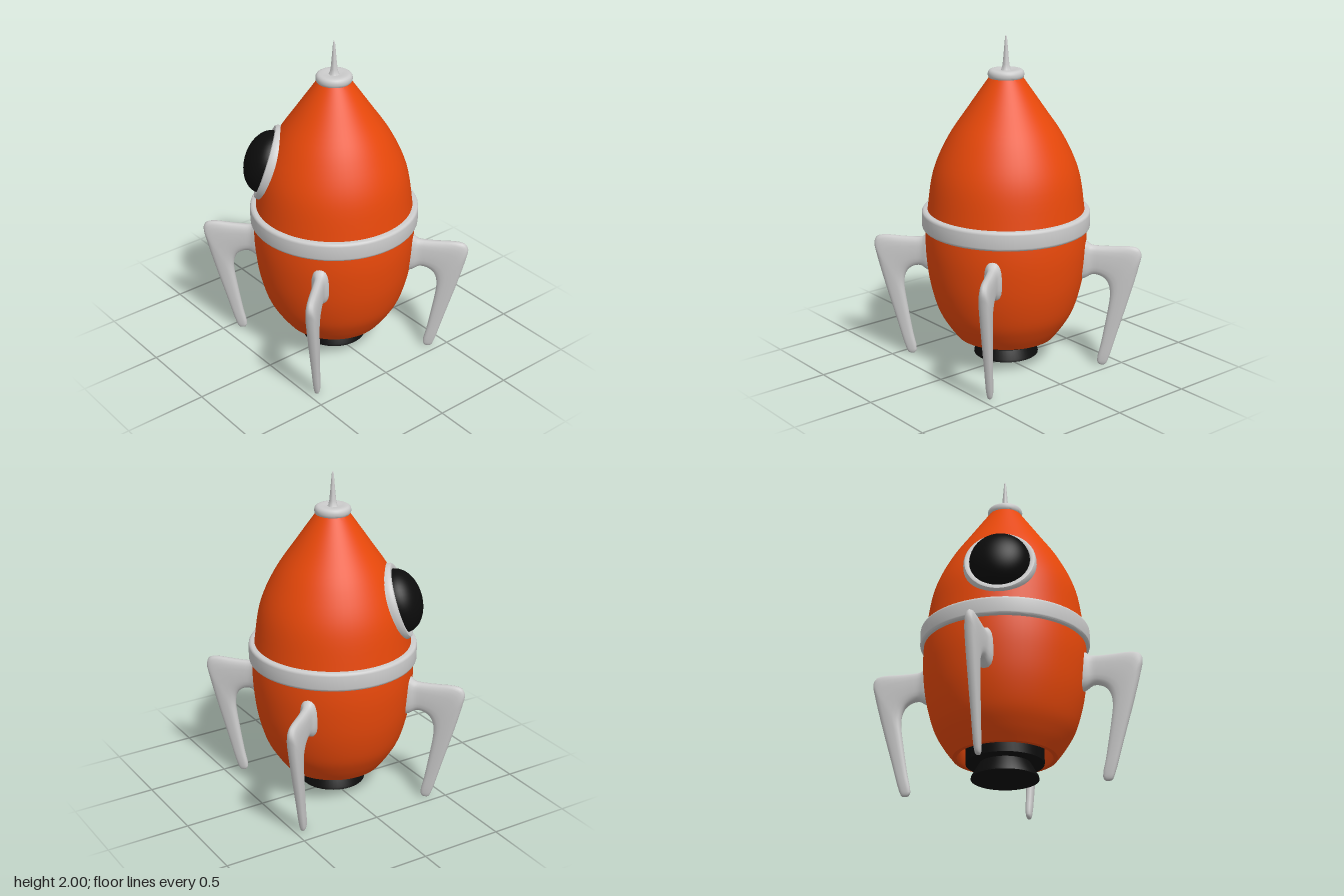
import * as THREE from 'three';
import { toCreasedNormals } from 'three/addons/utils/BufferGeometryUtils.js';

const orange = new THREE.MeshStandardMaterial({ color: 0xe8480a });
const black = new THREE.MeshStandardMaterial({ color: 0x0c0c0c });
const grey = new THREE.MeshStandardMaterial({ color: 0xcccccc });

const vectors = (list) => list.map(([x, y]) => new THREE.Vector2(x, y));

function lathe(name, points, material, segments = 64) {
  const geometry = toCreasedNormals(new THREE.LatheGeometry(vectors(points), segments), 0.7);
  const mesh = new THREE.Mesh(geometry, material);
  mesh.name = name;
  return mesh;
}

// Rounded band profile between an inner and outer radius
function band(inner, outer, bottom, top, round) {
  const points = [[inner, bottom]];
  for (let i = 0; i <= 4; i++) {
    const a = -Math.PI / 2 + (i / 4) * Math.PI / 2;
    points.push([outer - round + round * Math.cos(a), bottom + round + round * Math.sin(a)]);
  }
  for (let i = 0; i <= 4; i++) {
    const a = (i / 4) * Math.PI / 2;
    points.push([outer - round + round * Math.cos(a), top - round + round * Math.sin(a)]);
  }
  points.push([inner, top]);
  return points;
}

// Leg: rounded sections lofted between an outer and an inner edge
function legGeometry() {
  // outer r, outer y, inner r, inner y, half thickness
  const stations = [
    [0.44, 0.80, 0.44, 0.54, 0.06],
    [0.48, 0.785, 0.48, 0.555, 0.05],
    [0.51, 0.763, 0.52, 0.578, 0.037],
    [0.57, 0.758, 0.56, 0.575, 0.034],
    [0.66, 0.76, 0.60, 0.55, 0.034],
    [0.74, 0.763, 0.622, 0.51, 0.034],
    [0.79, 0.752, 0.629, 0.46, 0.034],
    [0.81, 0.715, 0.627, 0.42, 0.034],
    [0.799, 0.65, 0.622, 0.38, 0.033],
    [0.755, 0.48, 0.606, 0.28, 0.029],
    [0.68, 0.22, 0.58, 0.13, 0.023],
    [0.626, 0.035, 0.56, 0.025, 0.018],
    [0.61, 0.004, 0.572, 0.003, 0.011],
    [0.592, 0, 0.592, 0, 0],
  ];
  const outer = new THREE.CatmullRomCurve3(stations.map((s) => new THREE.Vector3(s[0], s[1], s[4])));
  const inner = new THREE.CatmullRomCurve3(stations.map((s) => new THREE.Vector3(s[2], s[3], s[4])));
  const rows = (stations.length - 1) * 3;
  const sides = 20;
  const positions = [];
  const indices = [];
  const soft = (v) => Math.sign(v) * Math.abs(v) ** 0.75;
  for (let i = 0; i <= rows; i++) {
    const o = outer.getPoint(i / rows);
    const n = inner.getPoint(i / rows);
    for (let j = 0; j < sides; j++) {
      const a = (j / sides) * Math.PI * 2;
      const k = (1 + soft(Math.cos(a))) / 2;
      positions.push(
        n.x + (o.x - n.x) * k,
        Math.max(0, n.y + (o.y - n.y) * k),
        Math.max(0, o.z) * soft(Math.sin(a)),
      );
      if (i < rows) {
        const p = i * sides + j;
        const q = i * sides + ((j + 1) % sides);
        indices.push(p, q, p + sides, q, q + sides, p + sides);
      }
    }
  }
  const geometry = new THREE.BufferGeometry();
  geometry.setAttribute('position', new THREE.Float32BufferAttribute(positions, 3));
  geometry.setIndex(indices);
  geometry.computeVertexNormals();
  return geometry;
}

// Oval porthole facing +z: rim and bulging glass
function createPorthole() {
  const porthole = new THREE.Group();
  porthole.name = 'porthole';
  const rim = lathe('portholeRim', [
    [0.212, -0.09], [0.212, -0.02], [0.209, 0], [0.202, 0.011], [0.19, 0.014],
    [0.178, 0.01], [0.172, 0], [0.172, -0.03],
  ], grey, 48);
  const glass = new THREE.Mesh(
    new THREE.SphereGeometry(1, 40, 16, 0, Math.PI * 2, 0, Math.PI / 2), black);
  glass.name = 'portholeGlass';
  glass.scale.set(0.175, 0.13, 0.175);
  for (const part of [rim, glass]) {
    part.rotation.x = Math.PI / 2;
    part.scale.z *= 1.1;
    porthole.add(part);
  }
  const azimuth = THREE.MathUtils.degToRad(39);
  const tilt = THREE.MathUtils.degToRad(18);
  const out = new THREE.Vector3(-Math.cos(azimuth), 0, -Math.sin(azimuth));
  porthole.position.copy(out).multiplyScalar(0.395).setY(1.235);
  const normal = out.multiplyScalar(Math.cos(tilt)).setY(Math.sin(tilt));
  porthole.lookAt(porthole.position.clone().add(normal));
  return porthole;
}

export function createModel() {
  const rocket = new THREE.Group();
  rocket.name = 'rocket';

  // Egg-shaped hull with a recessed underside
  const side = new THREE.SplineCurve(vectors([
    [0.30, 0.18], [0.355, 0.255], [0.41, 0.355], [0.452, 0.5], [0.474, 0.65], [0.48, 0.8],
    [0.465, 0.97], [0.428, 1.2], [0.34, 1.4], [0.22, 1.58], [0.095, 1.76],
  ])).getPoints(50).map((p) => [p.x, p.y]);
  rocket.add(lathe('hull', [[0, 0.27], [0.25, 0.27], [0.265, 0.19], [0.275, 0.18], ...side, [0, 1.76]], orange));

  // Belt, nose cap and needle
  rocket.add(lathe('belt', band(0.45, 0.5, 0.855, 0.968, 0.018), grey));
  rocket.add(lathe('noseCap', [...band(0.06, 0.106, 1.745, 1.802, 0.024), [0.03, 1.797], [0, 1.797]], grey, 40));
  rocket.add(lathe('needle', [
    [0.034, 1.792], [0.026, 1.803], [0.02, 1.83], [0.015, 1.88], [0.01, 1.94], [0.006, 1.985], [0.003, 1.997], [0, 2],
  ], grey, 24));

  // Engine collar and flared nozzle
  rocket.add(lathe('engineCollar', [[0, 0.145], [0.225, 0.145], [0.225, 0.275]], black, 48));
  rocket.add(lathe('nozzle', [[0, 0.055], [0.195, 0.055], [0.192, 0.068], [0.145, 0.15]], black, 48));

  rocket.add(createPorthole());

  // Four legs
  const leg = legGeometry();
  for (let i = 0; i < 4; i++) {
    const mesh = new THREE.Mesh(leg, grey);
    mesh.name = `leg${i + 1}`;
    mesh.rotation.y = THREE.MathUtils.degToRad(-48.5 + i * 90);
    rocket.add(mesh);
  }
  return rocket;
}
